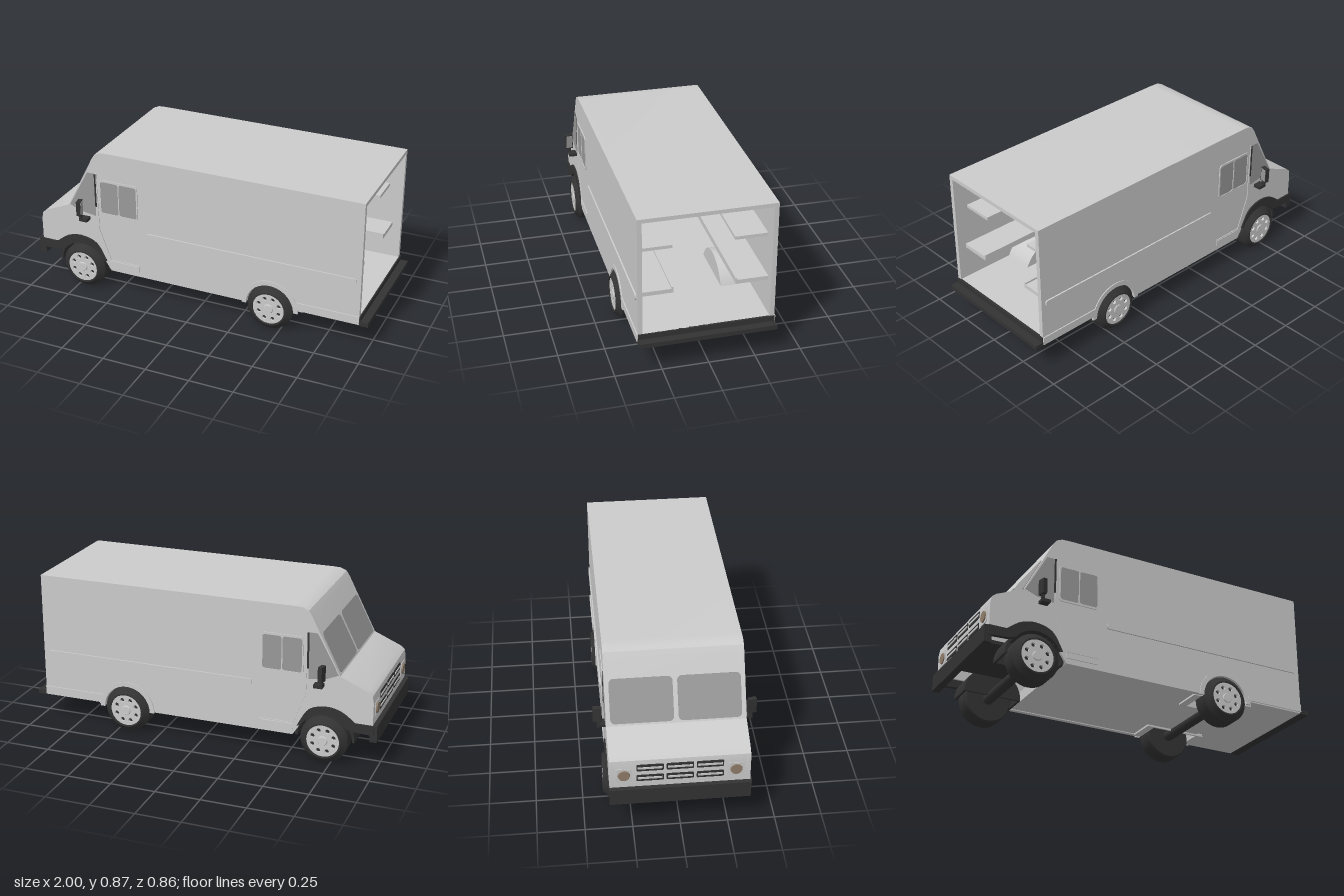
import * as THREE from 'three';
import { toCreasedNormals } from 'three/addons/utils/BufferGeometryUtils.js';

const paint = (color) => new THREE.MeshStandardMaterial({ color });
const grey = paint(0xcccccc);
const dark = paint(0x333333);
const glass = paint(0x999999);
const lampMat = paint(0x8f7d6a);

export function createModel() {
  const root = new THREE.Group();

  const add = (name, geo, mat = grey, parent = root) => {
    const m = new THREE.Mesh(geo, mat);
    m.name = name;
    parent.add(m);
    return m;
  };
  // Box given by its limits on each axis
  const box = (name, x0, x1, y0, y1, z0, z1, mat = grey, parent = root) => {
    const m = add(name, new THREE.BoxGeometry(x1 - x0, y1 - y0, Math.abs(z1 - z0)), mat, parent);
    m.position.set((x0 + x1) / 2, (y0 + y1) / 2, (z0 + z1) / 2);
    return m;
  };
  // Side-on outline extruded between two z values
  const slab = (name, shape, za, zb, mat = grey, parent = root) => {
    const geo = new THREE.ExtrudeGeometry(shape, { depth: Math.abs(zb - za), bevelEnabled: false, curveSegments: 20 });
    geo.translate(0, 0, Math.min(za, zb));
    return add(name, toCreasedNormals(geo, 0.5), mat, parent);
  };
  const poly = (pts) => new THREE.Shape(pts.map(([x, y]) => new THREE.Vector2(x, y)));
  const rounded = (x0, x1, y0, y1, r, Type = THREE.Shape) => {
    const s = new Type();
    s.absarc(x1 - r, y0 + r, r, -Math.PI / 2, 0);
    s.absarc(x1 - r, y1 - r, r, 0, Math.PI / 2);
    s.absarc(x0 + r, y1 - r, r, Math.PI / 2, Math.PI);
    s.absarc(x0 + r, y0 + r, r, Math.PI, Math.PI * 1.5);
    s.closePath();
    return s;
  };

  const FX = -0.71, RX = 0.44, WY = 0.13;

  // Nose, windscreen surround and roof: one bent sheet across the width
  const outer = [[-0.975, 0.25], [-0.975, 0.38], [-0.968, 0.42], [-0.945, 0.44], [-0.79, 0.507],
    [-0.63, 0.82], [-0.61, 0.85], [-0.575, 0.865], [-0.53, 0.867], [0.95, 0.867]];
  const inner = [[0.95, 0.845], [-0.53, 0.845], [-0.575, 0.843], [-0.6, 0.825],
    [-0.77, 0.49], [-0.94, 0.42], [-0.955, 0.38], [-0.955, 0.25]];
  slab('noseAndRoof', poly([...outer, ...inner].reverse()), -0.342, 0.342);

  // Side outline with both wheel arches
  const side = new THREE.Shape();
  side.moveTo(-0.975, 0.25);
  side.lineTo(-0.803, 0.25);
  side.absarc(FX, WY, 0.152, 2.23, 0.4, true);
  side.lineTo(-0.535, 0.135);
  side.lineTo(0.3, 0.135);
  side.absarc(RX, WY, 0.14, Math.PI, 0, true);
  side.lineTo(0.58, 0.148);
  side.lineTo(0.95, 0.148);
  outer.slice(1).reverse().forEach(([x, y]) => side.lineTo(x, y));

  // Front fender flare running forward to the bumper
  const flare = new THREE.Shape();
  flare.moveTo(-0.98, 0.2);
  flare.lineTo(-0.98, 0.255);
  flare.lineTo(-0.88, 0.255);
  flare.splineThru([[-0.8, 0.31], [-0.71, 0.325], [-0.62, 0.293], [-0.56, 0.195]].map(([x, y]) => new THREE.Vector2(x, y)));
  flare.absarc(FX, WY, 0.147, 0.45, 2.5, false);
  flare.lineTo(-0.87, 0.205);

  // Half ring used for wheel housings and arch lips
  const arch = (x, r0, r1) => {
    const s = new THREE.Shape();
    s.absarc(x, WY, r1, 0, Math.PI, false);
    s.absarc(x, WY, r0, Math.PI, 0, true);
    s.closePath();
    return s;
  };
  const halfDisc = (x, r) => {
    const s = new THREE.Shape();
    s.absarc(x, WY, r, 0, Math.PI, false);
    s.closePath();
    return s;
  };

  const frame = rounded(-0.588, -0.352, 0.488, 0.704, 0.02);
  const panes = [[-0.58, -0.472], [-0.466, -0.36]];
  panes.forEach(([a, b]) => frame.holes.push(rounded(a, b, 0.5, 0.692, 0.014, THREE.Path)));
  const quarter = poly([[-0.782, 0.512], [-0.72, 0.485], [-0.618, 0.47], [-0.612, 0.732], [-0.662, 0.732]]);
  const seam = poly([[-0.612, 0.735], [-0.606, 0.39], [-0.538, 0.2], [-0.35, 0.2], [-0.35, 0.207],
    [-0.531, 0.207], [-0.598, 0.392], [-0.604, 0.735]]);

  for (const s of [1, -1]) {
    const g = new THREE.Group();
    g.name = s > 0 ? 'leftSide' : 'rightSide';
    root.add(g);
    slab('sidePanel', side, s * 0.34, s * 0.365, grey, g);
    slab('fenderFlare', flare, s * 0.35, s * 0.373, dark, g);
    slab('rearArchLip', arch(RX, 0.138, 0.165), s * 0.36, s * 0.37, grey, g);
    slab('sideWindowFrame', frame, s * 0.36, s * 0.37, grey, g);
    panes.forEach(([a, b]) => slab('sideWindow', rounded(a, b, 0.5, 0.692, 0.014), s * 0.36, s * 0.367, glass, g));
    slab('quarterWindow', quarter, s * 0.36, s * 0.367, glass, g);
    box('doorPillar', -0.618, -0.608, 0.53, 0.732, s * 0.36, s * 0.37, dark, g);
    slab('doorTrim', seam, s * 0.36, s * 0.369, grey, g);
    slab('sideRail', rounded(-0.3, 0.925, 0.39, 0.425, 0.012), s * 0.36, s * 0.373, grey, g);
    box('cabStepTrim', -0.535, -0.355, 0.165, 0.198, s * 0.36, s * 0.37, grey, g);
    box('rearSkirtTrim', 0.59, 0.95, 0.155, 0.2, s * 0.36, s * 0.371, grey, g);

    // Wheel housings
    slab('rearWheelHousing', arch(RX, 0.14, 0.185), s * 0.18, s * 0.342, grey, g);
    slab('rearHousingEnd', halfDisc(RX, 0.185), s * 0.175, s * 0.185, grey, g);
    slab('frontWheelHousing', arch(FX, 0.152, 0.165), s * 0.2, s * 0.35, dark, g);
    slab('frontHousingEnd', halfDisc(FX, 0.165), s * 0.195, s * 0.205, dark, g);

    // Cargo shelves with a raised lip
    box('upperShelf', -0.32, 0.87, 0.637, 0.655, s * 0.165, s * 0.342, grey, g);
    box('lowerShelf', -0.32, 0.9, 0.392, 0.415, s * 0.17, s * 0.342, grey, g);
    box('lowerShelfLip', -0.32, 0.9, 0.392, 0.425, s * 0.165, s * 0.175, grey, g);

    // Door mirror on an L-shaped arm
    const mirror = new THREE.Group();
    mirror.name = 'mirror';
    g.add(mirror);
    box('mirrorArm', -0.705, -0.655, 0.44, 0.458, s * 0.36, s * 0.41, dark, mirror);
    box('mirrorPost', -0.705, -0.69, 0.44, 0.5, s * 0.393, s * 0.41, dark, mirror);
    const head = box('mirrorHead', -0.712, -0.688, 0.48, 0.567, s * 0.383, s * 0.428, dark, mirror);
    head.rotation.y = s * 0.2;
    const face = add('mirrorGlass', new THREE.BoxGeometry(0.004, 0.075, 0.036), glass, head);
    face.position.x = 0.012;

    // Wheels: chamfered tyre and a pierced disc
    for (const x of [FX, RX]) {
      const wheel = new THREE.Group();
      wheel.name = x === FX ? 'frontWheel' : 'rearWheel';
      wheel.position.set(x, WY + 0.002, s * 0.26);
      wheel.rotation.x = s * Math.PI / 2;
      g.add(wheel);
      const prof = [[0, 0], [0.125, 0], [0.132, 0.008], [0.132, 0.1], [0.1, 0.13], [0.092, 0.13], [0.09, 0.11], [0, 0.11]];
      add('tyre', toCreasedNormals(new THREE.LatheGeometry(prof.map(([r, y]) => new THREE.Vector2(r, y)), 36), 0.4), dark, wheel);
      const disc = new THREE.Shape();
      disc.absarc(0, 0, 0.092, 0, Math.PI * 2);
      for (let i = 0; i < 8; i++) {
        const a = (i + 0.5) * Math.PI / 4;
        const hole = new THREE.Path();
        hole.absarc(0.063 * Math.cos(a), 0.063 * Math.sin(a), 0.012, 0, Math.PI * 2, true);
        disc.holes.push(hole);
      }
      const dg = new THREE.ExtrudeGeometry(disc, { depth: 0.013, bevelEnabled: false, curveSegments: 16 });
      dg.translate(0, 0, 0.111).rotateX(-Math.PI / 2);
      add('wheelDisc', dg, grey, wheel);
      add('hubCap', new THREE.CylinderGeometry(0.024, 0.028, 0.006, 20), grey, wheel).position.y = 0.126;
    }
  }

  // Axles
  for (const x of [FX, RX]) {
    const axle = add('axle', new THREE.CylinderGeometry(0.03, 0.03, 0.54, 20), dark);
    axle.rotation.x = Math.PI / 2;
    axle.position.set(x, WY, 0);
  }

  // Floor, notched around the rear wheels, and the dark underside of the nose
  box('floorFront', -0.535, 0.295, 0.14, 0.2, -0.342, 0.342);
  box('floorMiddle', 0.295, 0.585, 0.14, 0.2, -0.18, 0.18);
  box('floorRear', 0.585, 0.95, 0.148, 0.2, -0.342, 0.342);
  box('noseUnderside', -0.96, -0.535, 0.24, 0.26, -0.2, 0.2, dark);

  // Bulkhead with a door
  box('bulkhead', -0.345, -0.325, 0.2, 0.847, -0.342, 0.342);
  box('bulkheadDoor', -0.33, -0.319, 0.2, 0.653, -0.135, 0.13);
  box('doorHandle', -0.32, -0.308, 0.42, 0.427, -0.125, -0.088);

  // Bumpers
  box('frontBumper', -1, -0.96, 0.16, 0.255, -0.367, 0.367, dark);
  box('rearBumper', 0.95, 1, 0.145, 0.17, -0.367, 0.367, dark);
  box('rearSill', 0.945, 0.957, 0.145, 0.2, -0.365, 0.365, dark);

  // Flat panels facing forward, laid on a tilted plane (local x runs along z)
  const plane = (name, x, y, up) => {
    const g = new THREE.Group();
    g.name = name;
    const X = new THREE.Vector3(0, 0, 1);
    const Y = new THREE.Vector3(up[0], up[1], 0).normalize();
    g.quaternion.setFromRotationMatrix(new THREE.Matrix4().makeBasis(X, Y, X.clone().cross(Y)));
    g.position.set(x, y, 0);
    root.add(g);
    return g;
  };
  const screen = plane('windscreen', -0.731, 0.622, [0.16, 0.313]);
  for (const s of [1, -1]) {
    const c = s * 0.177;
    slab('windscreenPane', rounded(c - 0.165, c + 0.165, -0.118, 0.118, 0.025), -0.005, 0.003, glass, screen);
  }

  // Grille slots with light bars, and headlights
  const grille = plane('grille', -0.975, 0.34, [0, 1]);
  for (const y of [-0.03, 0.035]) {
    for (const x of [-0.155, 0, 0.155]) {
      slab('grilleSlot', rounded(x - 0.07, x + 0.07, y - 0.02, y + 0.02, 0.006), -0.005, 0.002, dark, grille);
      slab('grilleBar', rounded(x - 0.064, x + 0.064, y - 0.006, y + 0.006, 0.003), 0, 0.005, grey, grille);
    }
  }
  for (const s of [1, -1]) {
    const x = s * 0.29;
    slab('headlightFrame', rounded(x - 0.042, x + 0.042, -0.05, 0.034, 0.012), -0.005, 0.003, grey, grille);
    const lamp = add('headlight', new THREE.CylinderGeometry(0.03, 0.033, 0.01, 24), lampMat, grille);
    lamp.rotation.x = Math.PI / 2;
    lamp.position.set(x, -0.008, 0.004);
  }
  return root;
}
